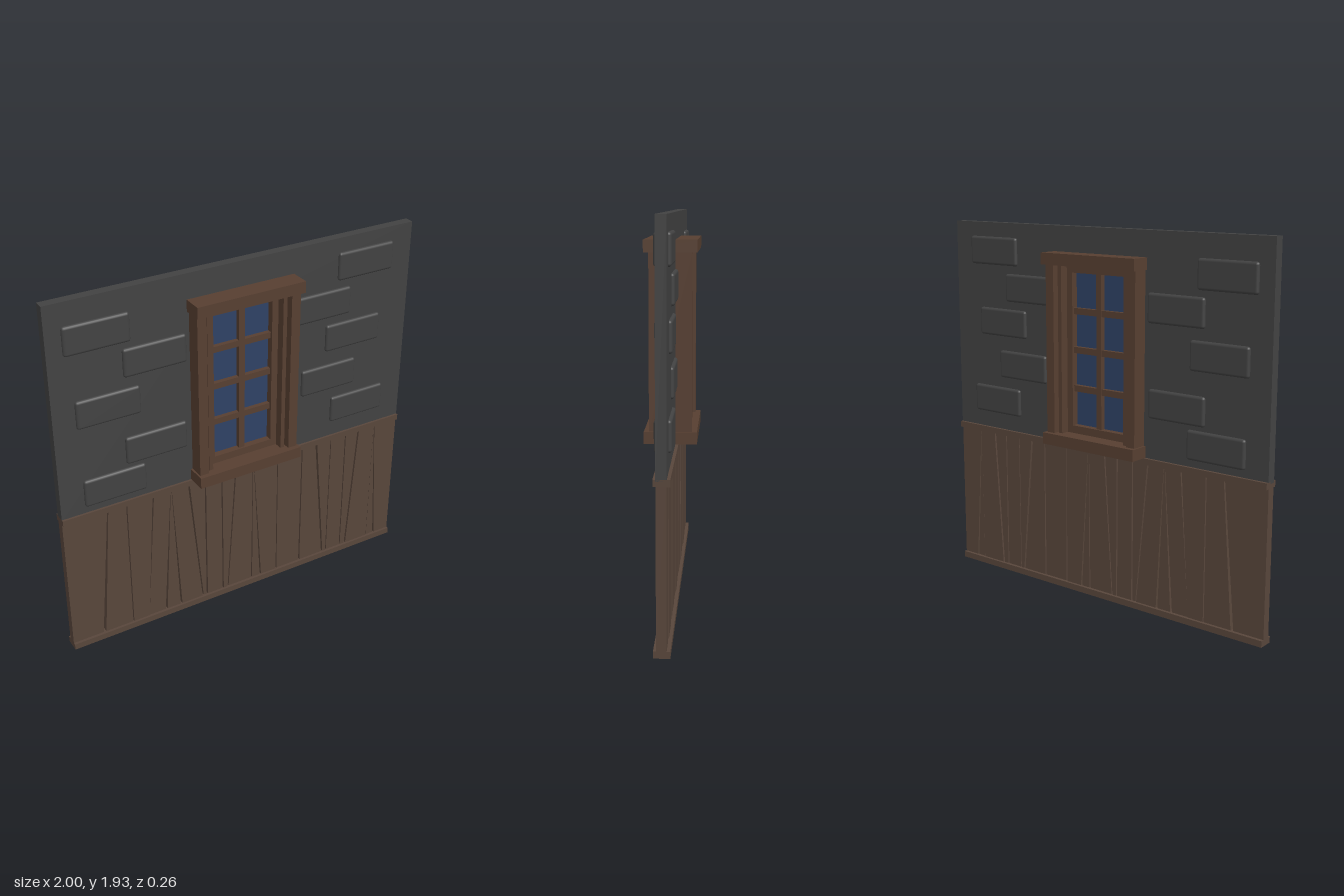
import * as THREE from 'three';
import { RoundedBoxGeometry } from 'three/addons/geometries/RoundedBoxGeometry.js';

const material = (name, color) => {
  const m = new THREE.MeshStandardMaterial({ color });
  m.name = name;
  return m;
};

export function createModel() {
  const stone = material('dark stone', 0x424242);
  const plankWood = material('plank wood', 0x58463b);
  const trimWood = material('trim wood', 0x573f31);
  const glass = material('blue glass', 0x2f4265);

  const model = new THREE.Group();
  model.name = 'wallWithWindow';

  const add = (name, geometry, mat, parent = model) => {
    const mesh = new THREE.Mesh(geometry, mat);
    mesh.name = name;
    parent.add(mesh);
    return mesh;
  };
  // Box given by its limits on each axis
  const box = (name, x0, x1, y0, y1, z0, z1, mat, parent) => {
    const mesh = add(name, new THREE.BoxGeometry(x1 - x0, y1 - y0, z1 - z0), mat, parent);
    mesh.position.set((x0 + x1) / 2, (y0 + y1) / 2, (z0 + z1) / 2);
    return mesh;
  };
  const group = (name) => {
    const g = new THREE.Group();
    g.name = name;
    model.add(g);
    return g;
  };
  // Flat outline extruded symmetrically about z = 0
  const slab = (points, depth, hole) => {
    const shape = new THREE.Shape(points.map(([x, y]) => new THREE.Vector2(x, y)));
    if (hole) shape.holes.push(new THREE.Path(hole.map(([x, y]) => new THREE.Vector2(x, y))));
    return new THREE.ExtrudeGeometry(shape, { depth, bevelEnabled: false }).translate(0, 0, -depth / 2);
  };
  const rect = (x, y0, y1) => [[-x, y0], [x, y0], [x, y1], [-x, y1]];

  // Upper wall with the window opening
  add('upperWall', slab(rect(1, 0.8, 1.93), 0.05, rect(0.2, 0.87, 1.74)), stone);

  // Bricks that stand out on both faces of the wall
  const bricks = group('bricks');
  const brickGeometry = new RoundedBoxGeometry(0.33, 0.148, 0.08, 2, 0.014);
  for (const [x, y] of [
    [-0.755, 1.74], [-0.47, 1.56], [-0.72, 1.355], [-0.48, 1.09], [-0.71, 0.92],
    [0.72, 1.78], [0.47, 1.59], [0.66, 1.4], [0.52, 1.175], [0.71, 0.97],
  ]) add('brick', brickGeometry, stone, bricks).position.set(x, y, 0);

  // Rails above and below the planks
  box('topRail', -1, 1, 0.778, 0.81, -0.04, 0.037, plankWood);
  box('bottomRail', -1, 1, 0, 0.033, -0.04, 0.037, plankWood);

  // Slanted gaps between planks: centre and width at the top, then at the bottom
  const gaps = [
    [-0.759, 0.006, -0.825, 0.015], [-0.658, 0.005, -0.658, 0.005],
    [-0.51, 0.01, -0.565, 0.001], [-0.412, 0.001, -0.463, 0.011],
    [-0.408, 0.001, -0.372, 0.01], [-0.31, 0.011, -0.238, 0.008],
    [-0.213, 0.007, -0.213, 0.007], [-0.116, 0.006, -0.114, 0.006],
    [-0.032, 0.01, -0.084, 0.008], [0.072, 0.001, 0.068, 0.006],
    [0.076, 0.001, 0.125, 0.008], [0.224, 0.006, 0.228, 0.008],
    [0.379, 0.005, 0.381, 0.007], [0.468, 0.011, 0.538, 0.008],
    [0.564, 0.007, 0.564, 0.007], [0.661, 0.005, 0.661, 0.005],
    [0.746, 0.009, 0.695, 0.009], [0.849, 0.003, 0.849, 0.004],
    [0.853, 0.002, 0.902, 0.008],
  ];
  const planks = group('planks');
  const edges = [[-1, 0, -1, 0], ...gaps, [1, 0, 1, 0]];
  for (let i = 0; i < edges.length - 1; i++) {
    const [lt, lw, lb, lv] = edges[i];
    const [rt, rw, rb, rv] = edges[i + 1];
    const l1 = lt + lw / 2, l0 = lb + lv / 2;
    const r1 = Math.max(rt - rw / 2, l1 + 0.001), r0 = Math.max(rb - rv / 2, l0 + 0.001);
    add('plank', slab([[l0, 0.02], [r0, 0.02], [r1, 0.79], [l1, 0.79]], 0.044 + (i % 3) * 0.003), plankWood, planks);
  }

  // Window surround
  const frame = group('windowFrame');
  box('lintel', -0.295, 0.295, 1.74, 1.8, -0.13, 0.13, trimWood, frame);
  box('sill', -0.295, 0.295, 0.81, 0.87, -0.13, 0.13, trimWood, frame);
  for (const s of [-1, 1]) {
    const post = (name, a, b, z) =>
      box(name, Math.min(s * a, s * b), Math.max(s * a, s * b), 0.87, 1.74, -z, z, trimWood, frame);
    post('outerJamb', 0.235, 0.285, 0.105);
    post('jambGroove', 0.222, 0.235, 0.065);
    post('innerJamb', 0.2, 0.222, 0.085);
    post('sashStile', 0.165, 0.2, 0.04);
  }
  box('sashTop', -0.165, 0.165, 1.7, 1.74, -0.04, 0.04, trimWood, frame);
  box('sashBottom', -0.165, 0.165, 0.87, 0.91, -0.04, 0.04, trimWood, frame);

  // Glazing bars and panes
  box('verticalBar', -0.016, 0.016, 0.91, 1.7, -0.03, 0.03, trimWood, frame);
  for (const y of [1.105, 1.305, 1.505])
    box('crossBar', -0.165, 0.165, y - 0.016, y + 0.016, -0.028, 0.028, trimWood, frame);
  box('windowGlass', -0.165, 0.165, 0.91, 1.7, -0.004, 0.004, glass, frame);

  return model;
}
